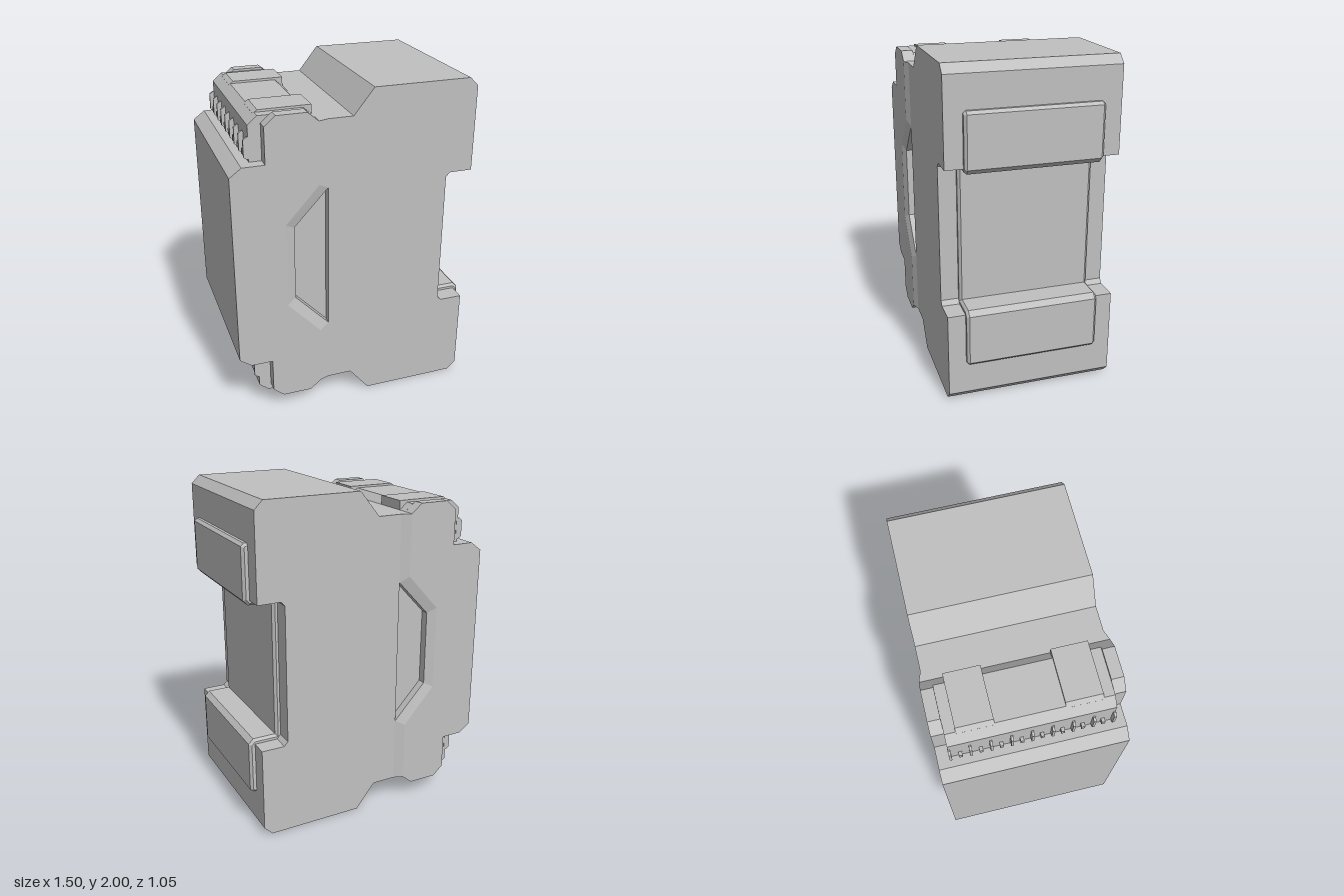
import * as THREE from 'three';

const housingGrey = new THREE.MeshStandardMaterial({ color: 0xc0c0c0, side: THREE.DoubleSide });
housingGrey.name = 'housingGrey';

const flip = ([x, y]) => [x, 2 - y];
// Closes an upper-half outline with its reflection about y = 1
const mirrored = (pts) => [...pts, ...pts.map(flip).reverse()];
const toVectors = (pts) => pts.map(([x, y]) => new THREE.Vector2(x, y));

function extrude(name, pts, z0, z1, hole, bevel = 0) {
  const shape = new THREE.Shape(toVectors(pts));
  if (hole) shape.holes.push(new THREE.Path(toVectors(hole)));
  const geometry = new THREE.ExtrudeGeometry(shape, {
    depth: z1 - z0 - 2 * bevel,
    bevelEnabled: bevel > 0, bevelSize: bevel, bevelThickness: bevel,
    bevelOffset: -bevel, bevelSegments: 1,
  });
  geometry.translate(0, 0, z0 + bevel);
  const mesh = new THREE.Mesh(geometry, housingGrey);
  mesh.name = name;
  return mesh;
}

// Sloping step between the wide front cover and the narrower body
function stepBand(outer, inner, side) {
  const pos = [];
  const a = outer.map(([x, y]) => [x, y, side * 0.525]);
  const b = inner.map(([x, y]) => [x, y, side * 0.505]);
  const tri = (p, q, r) => pos.push(...(side > 0 ? [p, q, r] : [p, r, q]).flat());
  for (let i = 0; i < a.length - 1; i++) {
    tri(a[i], a[i + 1], b[i]);
    tri(b[i], a[i + 1], b[i + 1]);
  }
  // Small end caps
  const n = a.length - 1;
  tri(a[0], b[0], [a[0][0], a[0][1], side * 0.505]);
  tri(b[n], a[n], [a[n][0], a[n][1], side * 0.505]);
  const geometry = new THREE.BufferGeometry();
  geometry.setAttribute('position', new THREE.Float32BufferAttribute(pos, 3));
  geometry.computeVertexNormals();
  const mesh = new THREE.Mesh(geometry, housingGrey);
  mesh.name = 'coverStep';
  return mesh;
}

export function createModel() {
  const model = new THREE.Group();
  model.name = 'railModule';

  // Rear body outline with the rail slot
  const rear = [
    [-0.04, 1.85], [0.08, 2], [0.66, 2], [0.71, 1.95],
    [0.71, 1.438], [0.57, 1.438], [0.547, 1.412],
  ];
  // Outline of the cover at its two ends
  const coverEnd = [
    [-0.75, 1.585], [-0.68, 1.637], [-0.55, 1.637], [-0.55, 1.85],
    [-0.485, 1.905], [-0.31, 1.905], [-0.245, 1.85],
  ];
  // Outline through the terminal rows
  const core = [
    [-0.75, 1.585], [-0.68, 1.637], [-0.622, 1.637], [-0.622, 1.845],
    [-0.567, 1.892], [-0.293, 1.892], [-0.245, 1.85],
  ];
  model.add(extrude('bodyCore', mirrored([...core, ...rear]), -0.455, 0.455));

  // Side walls with a finger recess, and the wider cover cheeks
  const recess = mirrored([[-0.39, 1.23], [-0.187, 1.447]]);
  const outerStep = mirrored([[-0.245, 1.85], [-0.245, 1.48], [-0.445, 1.26]]);
  const innerStep = mirrored([[-0.187, 1.85], [-0.187, 1.447], [-0.39, 1.23]]);
  const cheek = mirrored([...coverEnd, [-0.245, 1.48], [-0.445, 1.26]]);
  for (const side of [-1, 1]) {
    const span = (lo, hi) => (side > 0 ? [lo, hi] : [-hi, -lo]);
    model.add(extrude('sideWall', mirrored([...coverEnd, ...rear]), ...span(0.455, 0.505), recess));
    model.add(extrude('coverCheek', cheek, ...span(0.505, 0.525)));
    model.add(stepBand(outerStep, innerStep, side));
  }

  // Raised bevelled panel wrapping the rear face and rail slot
  const panel = mirrored([
    [0.5, 1.757], [0.728, 1.757], [0.745, 1.74],
    [0.745, 1.438], [0.716, 1.408], [0.577, 1.408],
  ]);
  model.add(extrude('rearPanel', panel, -0.4, 0.4, null, 0.015));

  // Terminal rows at top and bottom
  const lid = [[-0.575, 1.85], [-0.575, 1.886], [-0.55, 1.905], [-0.245, 1.905], [-0.245, 1.84]];
  const fin = [[-0.61, 1.655], [-0.635, 1.655], [-0.65, 1.667], [-0.65, 1.765], [-0.63, 1.78], [-0.61, 1.78]];
  const nub = [[-0.61, 1.665], [-0.645, 1.665], [-0.645, 1.7], [-0.61, 1.7]];
  for (const place of [(p) => p, flip]) {
    for (const z of [-0.395, 0.19]) {
      model.add(extrude('terminalLid', lid.map(place), z, z + 0.205));
    }
    for (let i = 0; i < 9; i++) {
      const z = (i - 4) * 0.1125;
      model.add(extrude('terminalFin', fin.map(place), z - 0.007, z + 0.007));
      if (i < 8) model.add(extrude('terminalNub', nub.map(place), z + 0.046, z + 0.066));
    }
  }
  return model;
}
